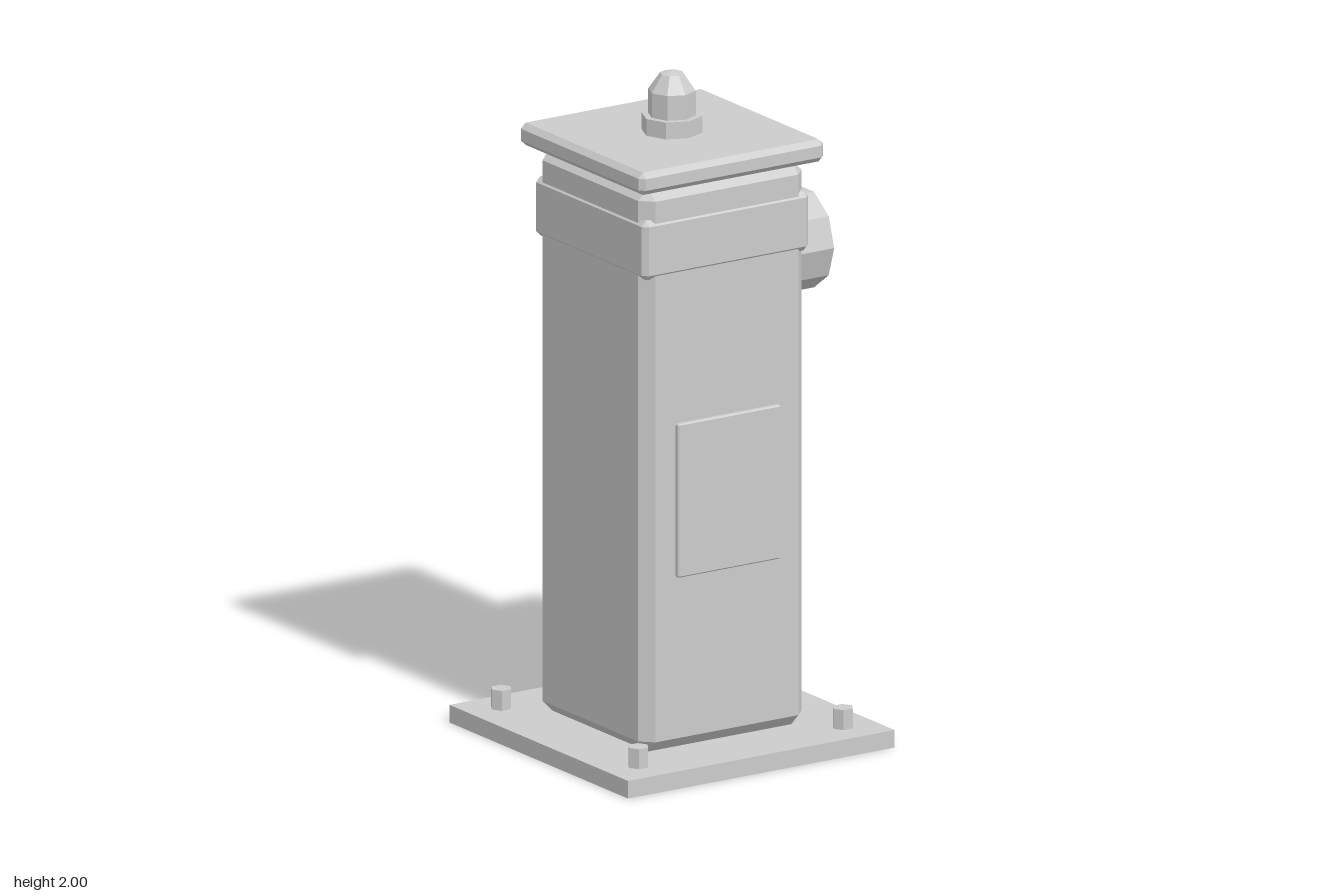
import * as THREE from 'three';
import { ConvexGeometry } from 'three/addons/geometries/ConvexGeometry.js';

const paintedMetal = new THREE.MeshStandardMaterial({ color: 0xcccccc, flatShading: true });
paintedMetal.name = 'paintedMetal';

// Box with every edge cut at 45 degrees, centred on its origin
function chamferBox(w, h, d, c) {
  const points = [];
  for (const sx of [-1, 1]) for (const sy of [-1, 1]) for (const sz of [-1, 1]) {
    const x = w / 2, y = h / 2, z = d / 2;
    points.push(
      new THREE.Vector3(sx * x, sy * (y - c), sz * (z - c)),
      new THREE.Vector3(sx * (x - c), sy * y, sz * (z - c)),
      new THREE.Vector3(sx * (x - c), sy * (y - c), sz * z)
    );
  }
  return new ConvexGeometry(points);
}

export function createModel() {
  const model = new THREE.Group();
  model.name = 'post';
  const add = (name, geometry, x, y, z) => {
    const mesh = new THREE.Mesh(geometry, paintedMetal);
    mesh.name = name;
    mesh.position.set(x, y, z);
    model.add(mesh);
    return mesh;
  };

  // Ground plate with four hexagonal bolts
  add('basePlate', new THREE.BoxGeometry(0.925, 0.053, 0.925), 0, 0.0265, 0);
  for (const sx of [-1, 1]) for (const sz of [-1, 1]) {
    const bolt = new THREE.CylinderGeometry(0.032, 0.032, 0.074, 6).rotateY(Math.PI / 2);
    add('bolt', bolt, sx * 0.355, 0.076, sz * 0.355);
  }

  // Square column, collar and cap
  add('column', chamferBox(0.568, 1.698, 0.568, 0.036), 0, 0.902, 0);
  add('collar', chamferBox(0.578, 0.179, 0.578, 0.016), 0, 1.57, 0);
  add('cap', chamferBox(0.641, 0.067, 0.641, 0.016), 0, 1.784, 0);

  // Access panel on the front
  add('accessPanel', chamferBox(0.356, 0.462, 0.036, 0.004), 0, 0.806, 0.281);

  // Ten-sided outlet on the model's left
  const outlet = new THREE.CylinderGeometry(0.151, 0.151, 0.222, 10).rotateZ(-Math.PI / 2);
  add('outlet', outlet, 0.351, 1.4255, 0);

  // Top nut with a domed end
  add('nutFlange', new THREE.CylinderGeometry(0.089, 0.089, 0.06, 8), 0, 1.838, 0);
  const dome = [[0.07, 0], [0.07, 0.082], [0.035, 0.132], [0, 0.14]]
    .map(([r, y]) => new THREE.Vector2(r, y));
  add('nutDome', new THREE.LatheGeometry(dome, 8), 0, 1.86, 0);

  return model;
}
